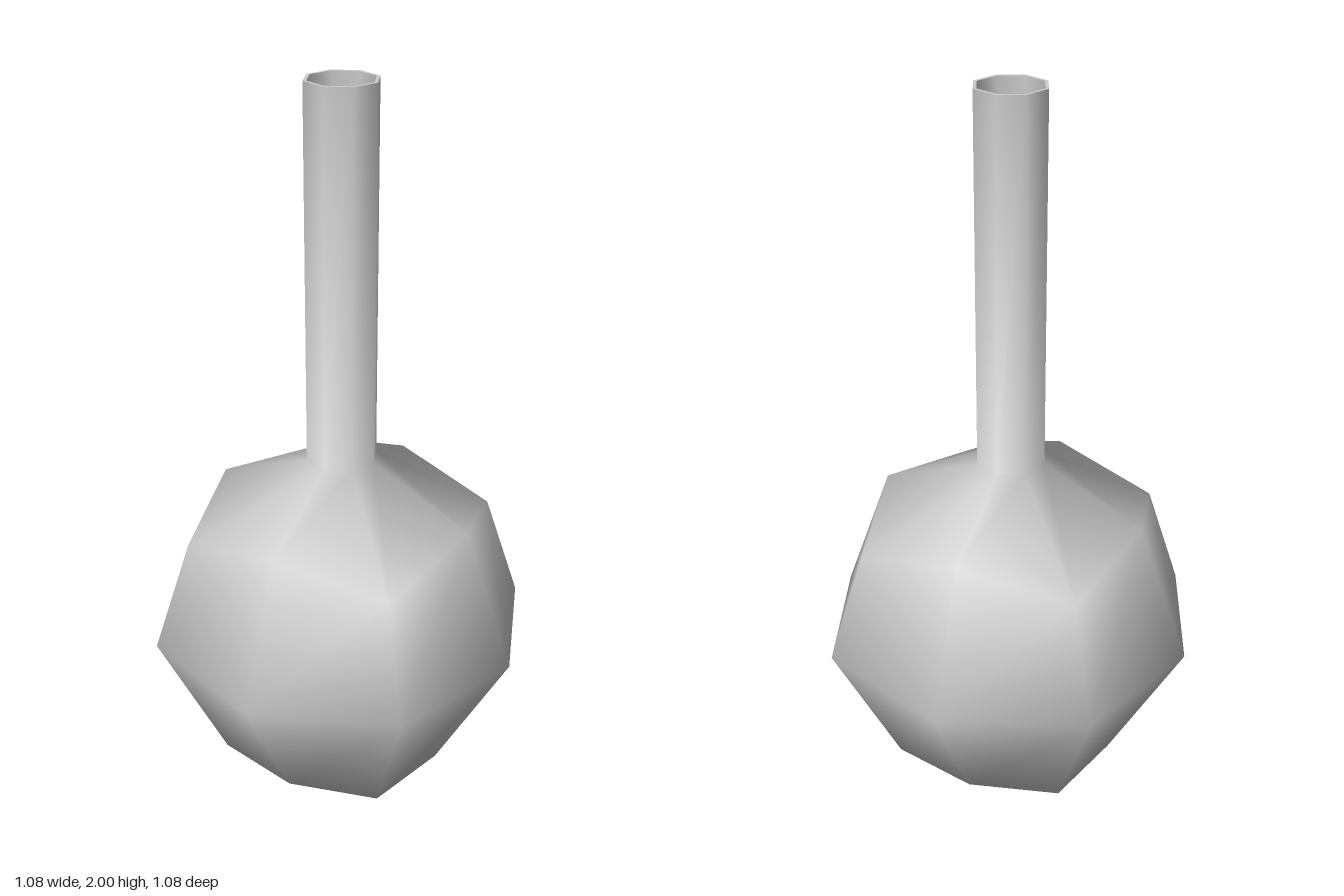
import * as THREE from 'three';

const SIDES = 8;
const WALL = 0.01;

// Rings from the base up: radius and height on the axes, radius and height on the diagonals,
// and the direction the height moves when the ring is inset by the wall thickness
const RINGS = [
  [0, 0, 0, 0, 1],
  [0.32, 0, 0.362, 0, 1],
  [0.54, 0.4, 0.557, 0.4, 0],
  [0.394, 0.795, 0.45, 0.72, -1],
  [0.102, 0.94, 0.102, 0.94, -1],
  [0.102, 2, 0.102, 2, 0],
];

// Eight-sided shell through all rings, facing outwards, or inwards when inset
function shell(name, inset, material) {
  const positions = [];
  const index = [];
  for (const [axisR, axisY, diagR, diagY, lift] of RINGS) {
    for (let j = 0; j < SIDES; j++) {
      const angle = (j / SIDES) * Math.PI * 2;
      const r = Math.max(0, (j % 2 ? diagR : axisR) - inset);
      const y = (j % 2 ? diagY : axisY) + lift * inset;
      positions.push(r * Math.sin(angle), y, r * Math.cos(angle));
    }
  }
  for (let i = 0; i < RINGS.length - 1; i++) {
    for (let j = 0; j < SIDES; j++) {
      const a = i * SIDES + j;
      const b = i * SIDES + ((j + 1) % SIDES);
      const c = b + SIDES;
      const d = a + SIDES;
      if (inset > 0) index.push(a, d, c, a, c, b);
      else index.push(a, b, c, a, c, d);
    }
  }
  const geometry = new THREE.BufferGeometry();
  geometry.setAttribute('position', new THREE.Float32BufferAttribute(positions, 3));
  geometry.setIndex(index);
  geometry.computeVertexNormals();
  const mesh = new THREE.Mesh(geometry, material);
  mesh.name = name;
  return mesh;
}

export function createModel() {
  const group = new THREE.Group();
  group.name = 'roundFlask';
  const material = new THREE.MeshStandardMaterial({ color: 0xcccccc });

  // Bulb, shoulder and neck, with the hollow inside
  group.add(shell('flaskOutside', 0, material));
  group.add(shell('flaskInside', WALL, material));

  // Flat lip around the mouth
  const lip = new THREE.Mesh(new THREE.RingGeometry(0.102 - WALL, 0.102, SIDES), material);
  lip.name = 'mouthLip';
  lip.rotation.x = -Math.PI / 2;
  lip.position.y = 2;
  group.add(lip);

  return group;
}
